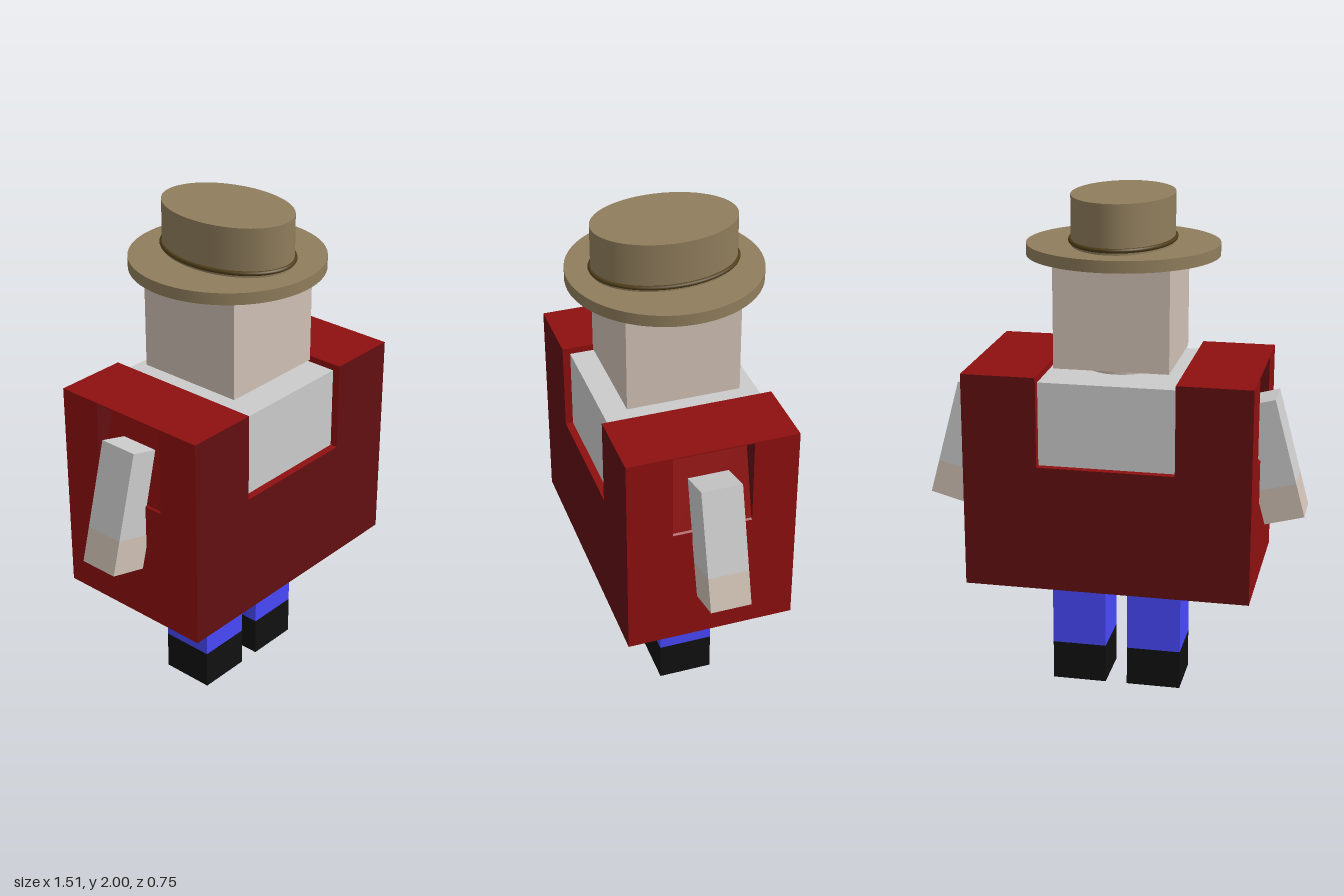
import * as THREE from 'three';

const mat = (color) => new THREE.MeshStandardMaterial({ color });
const CX = -0.018; // middle of the figure, between its arms

export function createModel() {
  const model = new THREE.Group();
  model.name = 'figure';
  const grey = mat(0xcccccc), skin = mat(0xcfc0b4), blue = mat(0x4848fa), black = mat(0x101010);
  const redSide = mat(0x8e0f0f), redFront = mat(0x620f12), felt = mat(0x8f7d5c), band = mat(0x4f3d18);

  const add = (name, geometry, material, x, y, z = 0, parent = model) => {
    const mesh = new THREE.Mesh(geometry, material);
    mesh.name = name;
    mesh.position.set(x, y, z);
    parent.add(mesh);
    return mesh;
  };
  const box = (name, w, y0, y1, d, material, x, parent) =>
    add(name, new THREE.BoxGeometry(w, y1 - y0, d), material, x, (y0 + y1) / 2, 0, parent);

  // Legs and shoes
  for (const [side, x] of [['left', 0.138], ['right', -0.168]]) {
    box(side + 'Leg', 0.218, 0.16, 0.5, 0.218, blue, x);
    box(side + 'Shoe', 0.218, 0, 0.16, 0.218, black, x);
  }

  // Jacket: extruded outline with a neck notch; the middle slab has slanted armholes
  const half = 0.56;
  const jacketSlab = (name, z0, z1, armholes) => {
    const hole = armholes ? [[half, 0.99], [half - 0.008, 0.995], [half - 0.088, 1.318], [half, 1.34]] : [];
    const right = [[half, 0.49], ...hole, [half, 1.345], [0.268, 1.345], [0.268, 0.99]];
    const left = right.map(([x, y]) => [-x, y]).reverse();
    const shape = new THREE.Shape([...right, ...left].map(([x, y]) => new THREE.Vector2(x, y)));
    const geometry = new THREE.ExtrudeGeometry(shape, { depth: z1 - z0, bevelEnabled: false });
    add(name, geometry, [redFront, redSide], CX, 0, z0);
  };
  jacketSlab('jacketFront', 0.157, 0.335, false);
  jacketSlab('jacketMiddle', -0.157, 0.157, true);
  jacketSlab('jacketBack', -0.335, -0.157, false);

  // Shirt filling the notch, neck and head
  box('shirt', 0.534, 0.99, 1.32, 0.61, grey, CX);
  add('neck', new THREE.CylinderGeometry(0.142, 0.14, 0.05, 48), skin, CX, 1.338);
  box('head', 0.447, 1.355, 1.766, 0.447, skin, CX);

  // Arms: sleeve and hand, swung outward
  for (const s of [1, -1]) {
    const arm = new THREE.Group();
    arm.name = s > 0 ? 'leftArm' : 'rightArm';
    arm.position.set(s * 0.553, 1.217, 0);
    arm.rotation.z = s * 0.262;
    model.add(arm);
    box('sleeve', 0.16, -0.345, 0, 0.16, grey, 0, arm);
    box('hand', 0.16, -0.485, -0.345, 0.16, skin, 0, arm);
  }

  // Hat: round brim, oval crown and a thin band
  add('hatBrim', new THREE.CylinderGeometry(0.373, 0.373, 0.046, 64), felt, CX - 0.004, 1.788);
  add('hatCrown', new THREE.CylinderGeometry(1, 1, 0.19, 64), felt, CX - 0.004, 1.905).scale.set(0.197, 1, 0.28);
  const ring = new THREE.TorusGeometry(1, 0.04, 10, 64).rotateX(Math.PI / 2);
  add('hatBand', ring, band, CX - 0.004, 1.828).scale.set(0.199, 0.22, 0.279);

  return model;
}
